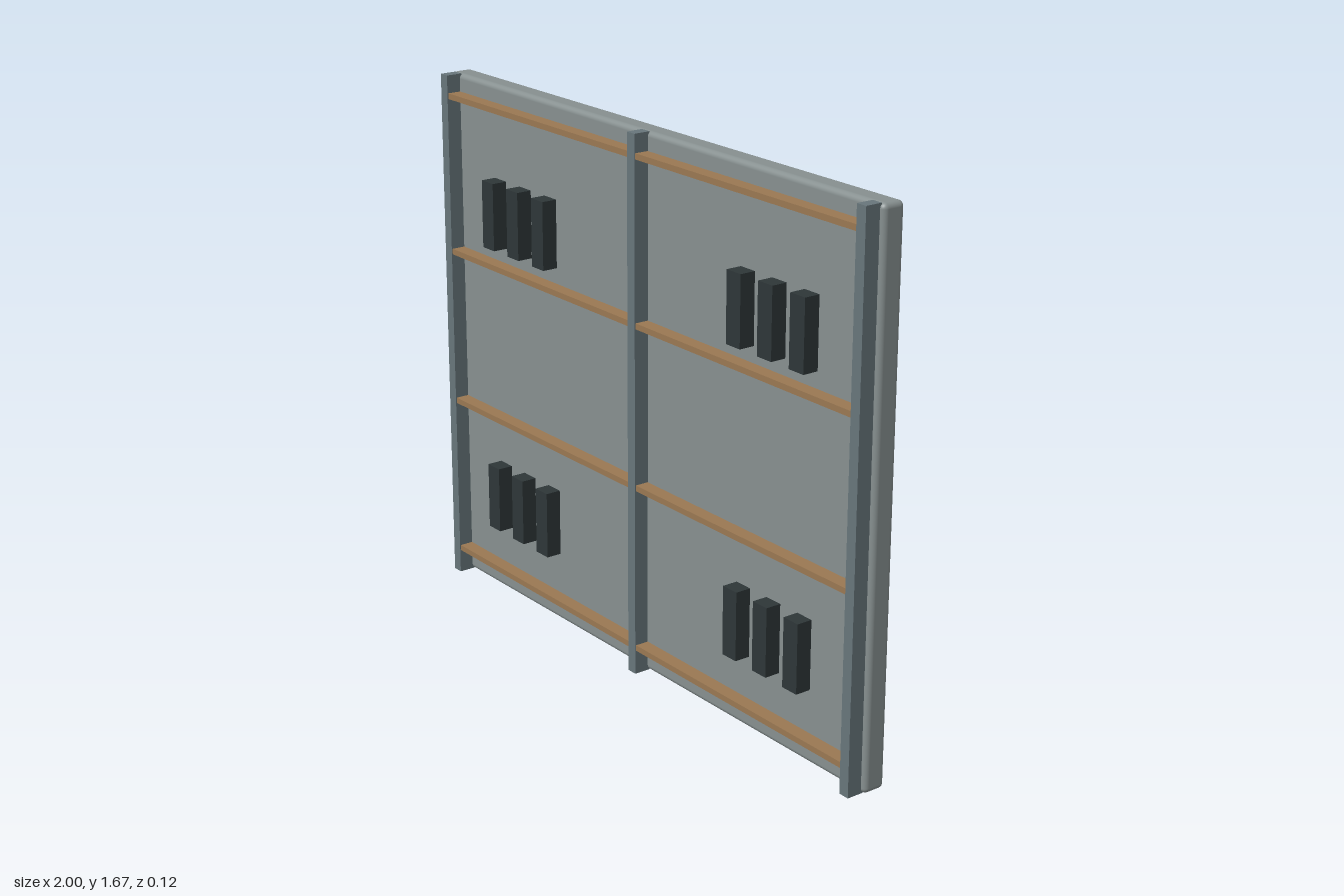
import * as THREE from 'three';
import { RoundedBoxGeometry } from 'three/addons/geometries/RoundedBoxGeometry.js';

const HEIGHT = 1.667;
const FACE_Z = 0.013; // front face of the slab

const material = (color) => new THREE.MeshStandardMaterial({ color });

export function createModel() {
  const model = new THREE.Group();
  model.name = 'wallPanel';

  const slabMat = material(0x879090);
  const postMat = material(0x68767b);
  const railMat = material(0x9a7852);
  const finMat = material(0x2e3638);

  // Box standing out from the slab face to depth frontZ, slightly embedded
  const addBlock = (name, mat, x, y, w, h, frontZ) => {
    const backZ = FACE_Z - 0.006;
    const mesh = new THREE.Mesh(new THREE.BoxGeometry(w, h, frontZ - backZ), mat);
    mesh.position.set(x, y, (frontZ + backZ) / 2);
    mesh.name = name;
    model.add(mesh);
  };

  // Main slab with softened edges
  const slab = new THREE.Mesh(new RoundedBoxGeometry(2, HEIGHT, 0.073, 4, 0.016), slabMat);
  slab.position.set(0, HEIGHT / 2, FACE_Z - 0.0365);
  slab.name = 'slab';
  model.add(slab);

  // Upright posts at both edges and the middle
  for (const [name, x] of [['rightPost', -0.967], ['centerPost', 0], ['leftPost', 0.967]]) {
    addBlock(name, postMat, x, HEIGHT / 2, 0.035, HEIGHT, 0.06);
  }

  for (const side of [-1, 1]) {
    const label = side > 0 ? 'left' : 'right';

    // Horizontal trim rails between the posts
    for (const y of [0.085, 0.602, 1.102, 1.602]) {
      addBlock(label + 'Rail', railMat, side * 0.4835, y, 0.932, 0.018, 0.057);
    }

    // Groups of three dark vent fins, low and high
    for (const y of [0.333, 1.267]) {
      for (const x of [0.467, 0.6, 0.733]) {
        addBlock(label + 'VentFin', finMat, side * x, y, 0.06, 0.213, 0.0625);
      }
    }
  }

  return model;
}
